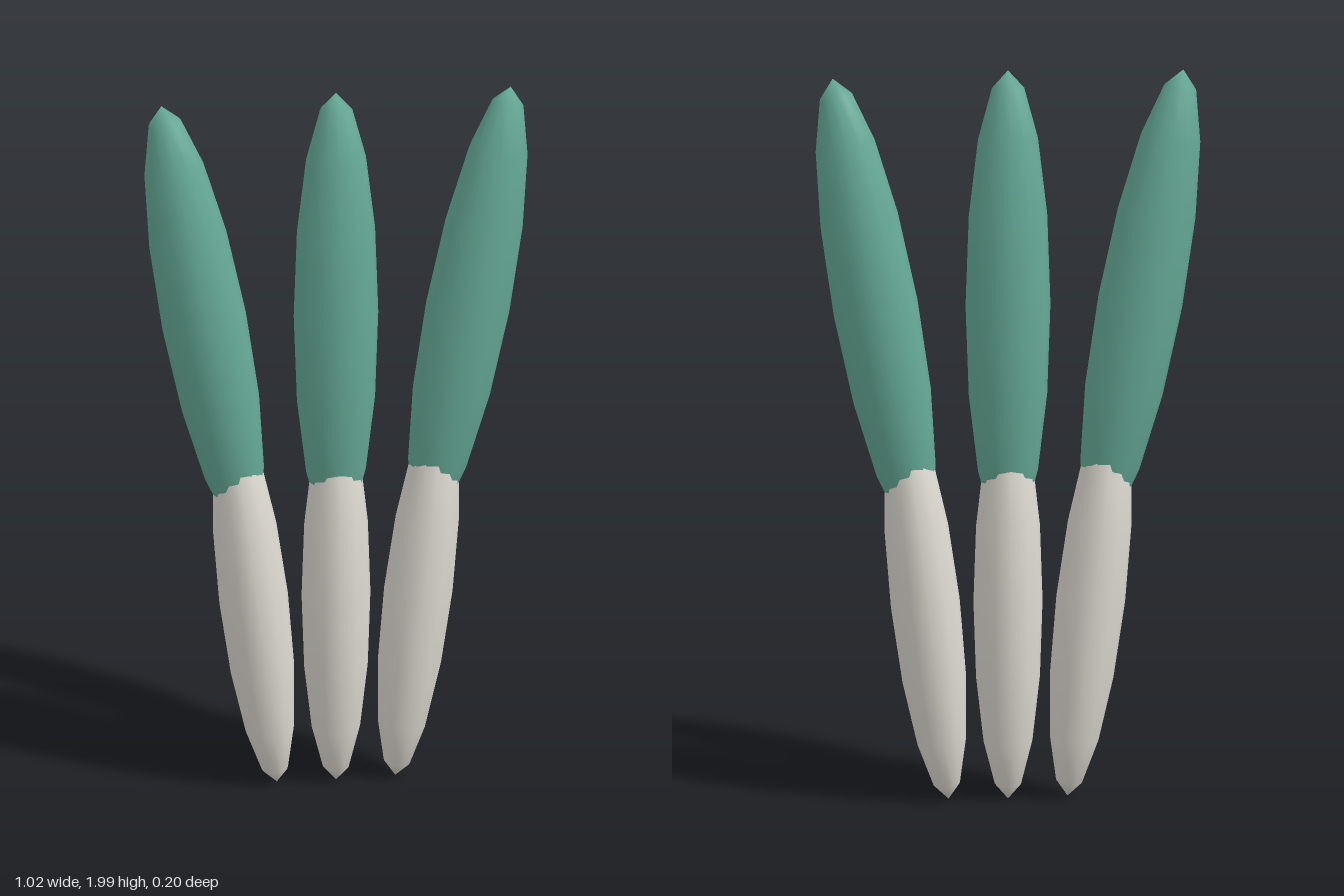
import * as THREE from 'three';

export function createModel() {
  const model = new THREE.Group();
  const green = new THREE.MeshStandardMaterial({ color: 0x66aa97 });
  green.name = 'leaf green';
  const pale = new THREE.MeshStandardMaterial({ color: 0xdedad2 });
  pale.name = 'pale grey';

  // One stretched sphere serves every segment
  const ball = new THREE.SphereGeometry(1, 12, 8);
  const segment = (name, material, radii, x, y, lean) => {
    const mesh = new THREE.Mesh(ball, material);
    mesh.name = name;
    mesh.scale.set(...radii);
    mesh.position.set(x, y, 0);
    mesh.rotation.z = -lean;
    return mesh;
  };

  // Three blades: the outer two fan outwards
  for (const [name, side] of [['rightBlade', -1], ['middleBlade', 0], ['leftBlade', 1]]) {
    const blade = new THREE.Group();
    blade.name = name;
    blade.add(
      segment('lowerStalk', pale, [0.092, 0.54, 0.1015], side * 0.22, 0.55, side * 0.115),
      segment('upperLeaf', green, [0.113, 0.64, 0.1015], side * 0.352, 1.36, side * 0.18)
    );
    model.add(blade);
  }
  return model;
}
